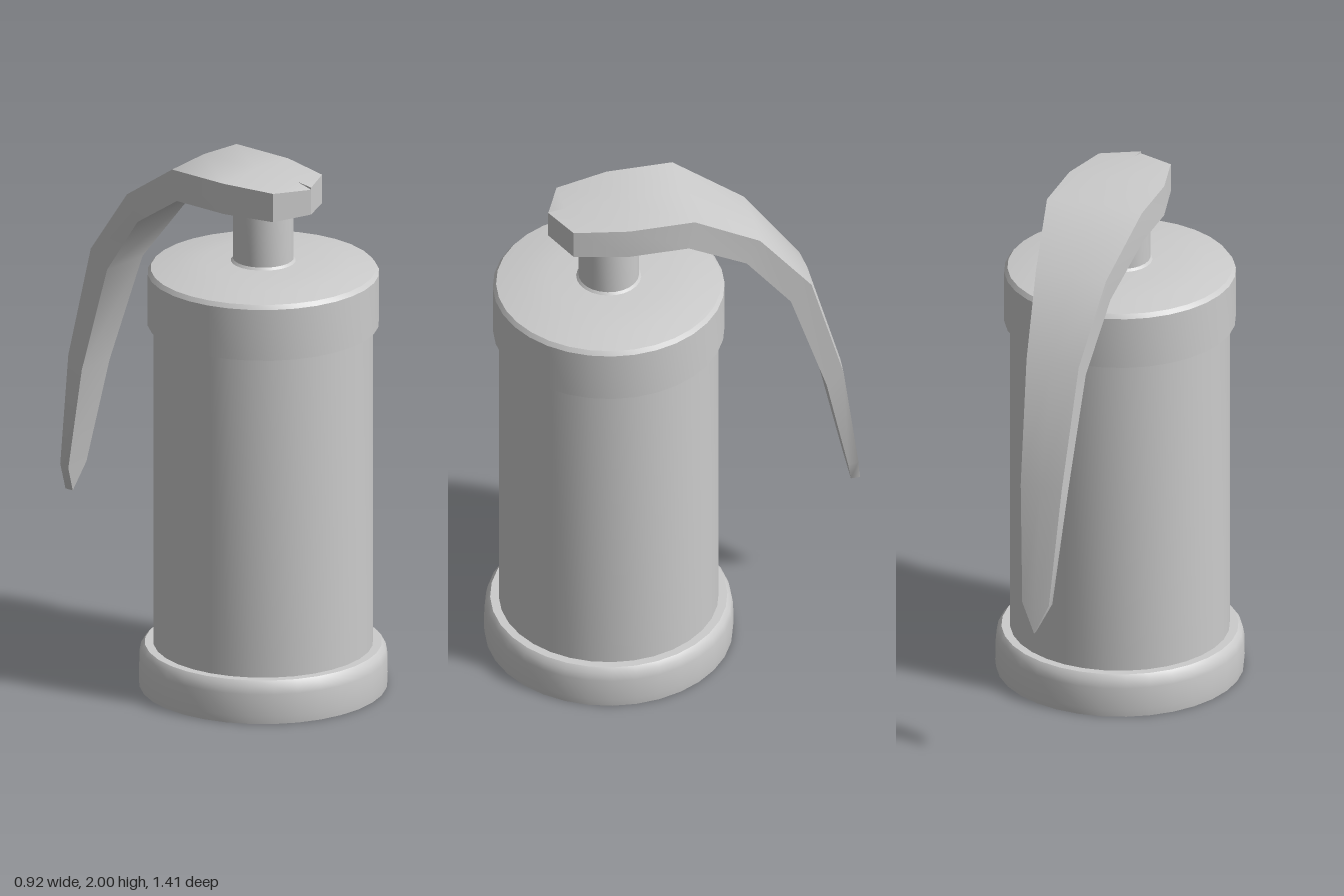
import * as THREE from 'three';
import { toCreasedNormals } from 'three/addons/utils/BufferGeometryUtils.js';

const material = new THREE.MeshStandardMaterial({ color: 0xcccccc });
const BODY_Z = 0.245;

function addMesh(group, name, geometry, crease = 0.6) {
  const mesh = new THREE.Mesh(toCreasedNormals(geometry, crease), material);
  mesh.name = name;
  group.add(mesh);
  return mesh;
}

// Turned part from [radius, height] pairs, bottom to top
function addTurned(group, name, profile, segments = 32) {
  const points = profile.map(([r, y]) => new THREE.Vector2(r, y));
  addMesh(group, name, new THREE.LatheGeometry(points, segments)).position.z = BODY_Z;
}

// Lever lofted through stations: [outer z, outer y, inner z, inner y, half width]
function leverGeometry(stations) {
  const positions = [];
  const index = [];
  const crown = 0.08;
  for (const [oz, oy, iz, iy, w] of stations) {
    const ez = THREE.MathUtils.lerp(oz, iz, crown);
    const ey = THREE.MathUtils.lerp(oy, iy, crown);
    positions.push(-w, ey, ez, 0, oy, oz, w, ey, ez, w, iy, iz, -w, iy, iz);
  }
  const n = 5;
  for (let i = 0; i < stations.length - 1; i++) {
    for (let j = 0; j < n; j++) {
      const k = (j + 1) % n;
      const a = i * n + j, b = i * n + k, c = b + n, d = a + n;
      index.push(a, b, c, a, c, d);
    }
  }
  const geometry = new THREE.BufferGeometry();
  geometry.setAttribute('position', new THREE.Float32BufferAttribute(positions, 3));
  geometry.setIndex(index);
  return geometry;
}

export function createModel() {
  const model = new THREE.Group();
  model.name = 'leverCanister';

  // Rounded foot ring with a flat underside
  addTurned(model, 'base', [
    [0, 0], [0.457, 0], [0.46, 0.03], [0.458, 0.115], [0.452, 0.145], [0.437, 0.163], [0.39, 0.163],
  ]);

  // Straight cylinder
  addTurned(model, 'body', [[0.405, 0.15], [0.405, 1.415]]);

  // Overhanging cap with a shallow dome
  addTurned(model, 'cap', [
    [0.39, 1.407], [0.427, 1.407], [0.427, 1.605], [0.415, 1.621],
    [0.32, 1.639], [0.22, 1.65], [0, 1.652],
  ]);

  // Post carrying the lever
  addTurned(model, 'post', [[0.125, 1.645], [0.112, 1.66], [0.112, 1.885]], 24);

  // Lever bending over the back and tapering to a point
  addMesh(model, 'lever', leverGeometry([
    [0.475, 1.985, 0.475, 1.88, 0],
    [0.41, 1.993, 0.41, 1.873, 0.14],
    [0.21, 2.0, 0.21, 1.872, 0.185],
    [-0.04, 2.0, -0.015, 1.872, 0.185],
    [-0.3, 1.83, -0.245, 1.725, 0.137],
    [-0.505, 1.56, -0.42, 1.49, 0.102],
    [-0.63, 1.11, -0.56, 1.06, 0.08],
    [-0.69, 0.66, -0.648, 0.65, 0.052],
    [-0.705, 0.545, -0.67, 0.545, 0],
  ]), 0.75);

  return model;
}
